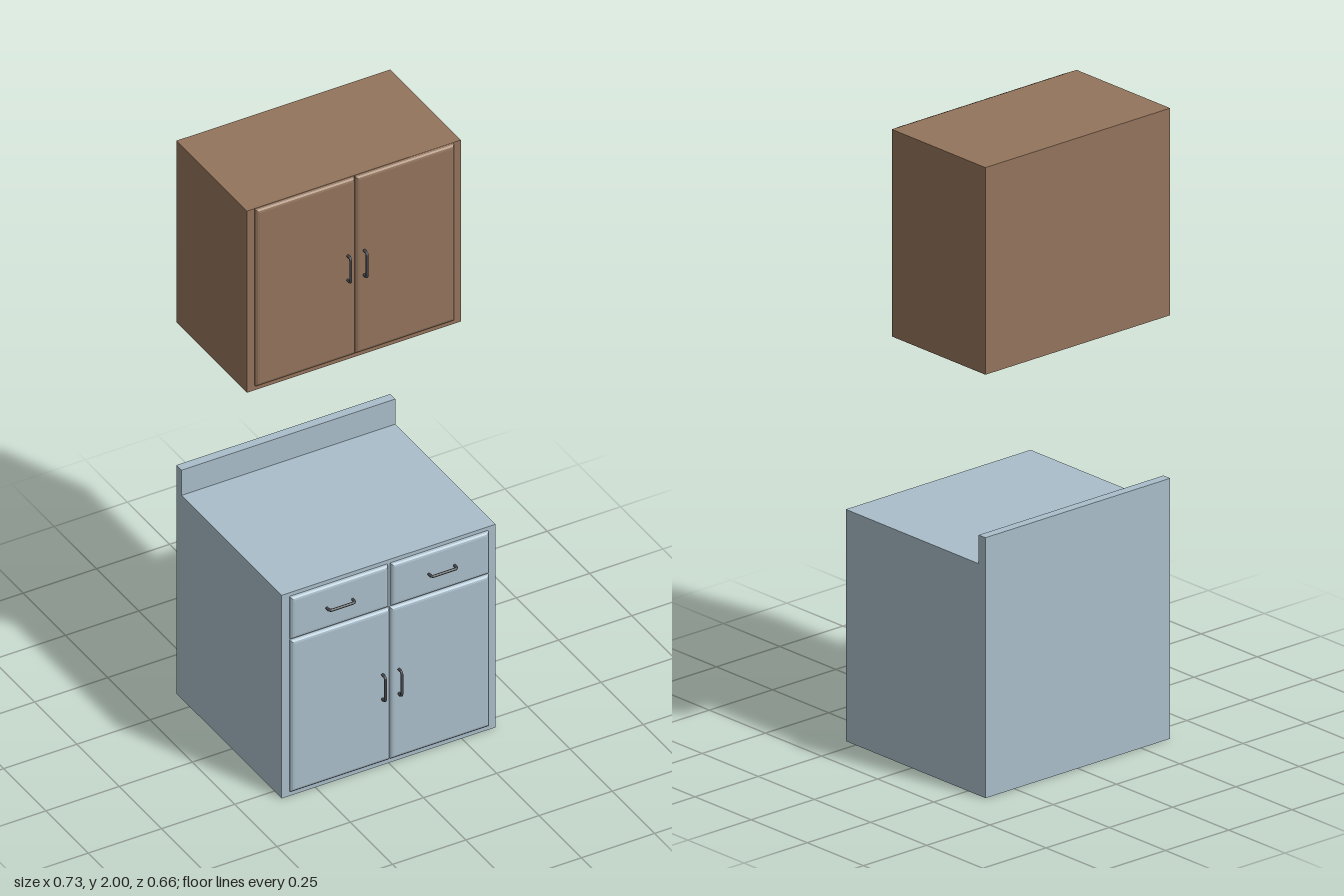
import * as THREE from 'three';

const HALF = 0.365, BACK = -0.328;

export function createModel() {
  const material = (name, color) => {
    const m = new THREE.MeshStandardMaterial({ color });
    m.name = name;
    return m;
  };
  const brown = material('brownWood', 0x93745c);
  const blue = material('paleBlue', 0xa9bdc9);
  const dark = material('darkMetal', 0x45474b);

  const group = new THREE.Group();
  const add = (name, geometry, mat) => {
    const mesh = new THREE.Mesh(geometry, mat);
    mesh.name = name;
    group.add(mesh);
    return mesh;
  };

  // Raised panel with a rounded edge; its rear half sinks into the cabinet
  function addPanel(name, x0, x1, y0, y1, z, mat) {
    const b = 0.012;
    const shape = new THREE.Shape([
      new THREE.Vector2(x0 + b, y0 + b), new THREE.Vector2(x1 - b, y0 + b),
      new THREE.Vector2(x1 - b, y1 - b), new THREE.Vector2(x0 + b, y1 - b),
    ]);
    const geometry = new THREE.ExtrudeGeometry(shape, {
      depth: 0.002, bevelThickness: 0.011, bevelSize: b, bevelSegments: 3,
    });
    add(name, geometry, mat).position.z = z - 0.001;
  }

  // Bent bar handle: two legs joined by a straight grip with rounded corners
  const L = 0.044, R = 0.01, OUT = 0.0175;
  const v = (x, z) => new THREE.Vector3(x, 0, z);
  const path = new THREE.CurvePath();
  path.add(new THREE.LineCurve3(v(-L, -0.004), v(-L, OUT - R)));
  path.add(new THREE.QuadraticBezierCurve3(v(-L, OUT - R), v(-L, OUT), v(-L + R, OUT)));
  path.add(new THREE.LineCurve3(v(-L + R, OUT), v(L - R, OUT)));
  path.add(new THREE.QuadraticBezierCurve3(v(L - R, OUT), v(L, OUT), v(L, OUT - R)));
  path.add(new THREE.LineCurve3(v(L, OUT - R), v(L, -0.004)));
  const handleGeometry = new THREE.TubeGeometry(path, 48, 0.0045, 8);
  function addHandle(name, x, y, z, upright) {
    const handle = add(name, handleGeometry, dark);
    handle.position.set(x, y, z);
    if (upright) handle.rotation.z = Math.PI / 2;
  }

  // Wall cabinet
  const upper = new THREE.BoxGeometry(HALF * 2, 0.657, 0.417);
  upper.translate(0, 2 - 0.657 / 2, BACK + 0.417 / 2);
  add('wallCabinet', upper, brown);

  // Base cabinet with worktop and backsplash in one side profile (z, y)
  const FRONT = 0.294;
  const profile = new THREE.Shape([
    [BACK, 0], [FRONT, 0], [FRONT, 0.735], [-0.298, 0.735], [-0.298, 0.826], [BACK, 0.826],
  ].map(([z, y]) => new THREE.Vector2(z, y)));
  const base = new THREE.ExtrudeGeometry(profile, { depth: HALF * 2, bevelEnabled: false });
  base.rotateY(-Math.PI / 2);
  base.translate(HALF, 0, 0);
  add('baseCabinet', base, blue);

  // Doors, drawers and handles, mirrored left and right
  for (const [side, s] of [['left', 1], ['right', -1]]) {
    const span = (inner, outer) => (s > 0 ? [inner, outer] : [-outer, -inner]);
    addPanel(side + 'WallDoor', ...span(0.001, 0.339), 1.36, 1.999, 0.089, brown);
    addPanel(side + 'BaseDoor', ...span(0.001, 0.339), 0.018, 0.566, FRONT, blue);
    addPanel(side + 'Drawer', ...span(0.005, 0.339), 0.57, 0.722, FRONT, blue);
    addHandle(side + 'WallDoorHandle', s * 0.028, 1.683, 0.101, true);
    addHandle(side + 'BaseDoorHandle', s * 0.028, 0.293, FRONT + 0.012, true);
    addHandle(side + 'DrawerHandle', s * 0.174, 0.645, FRONT + 0.012, false);
  }
  return group;
}
